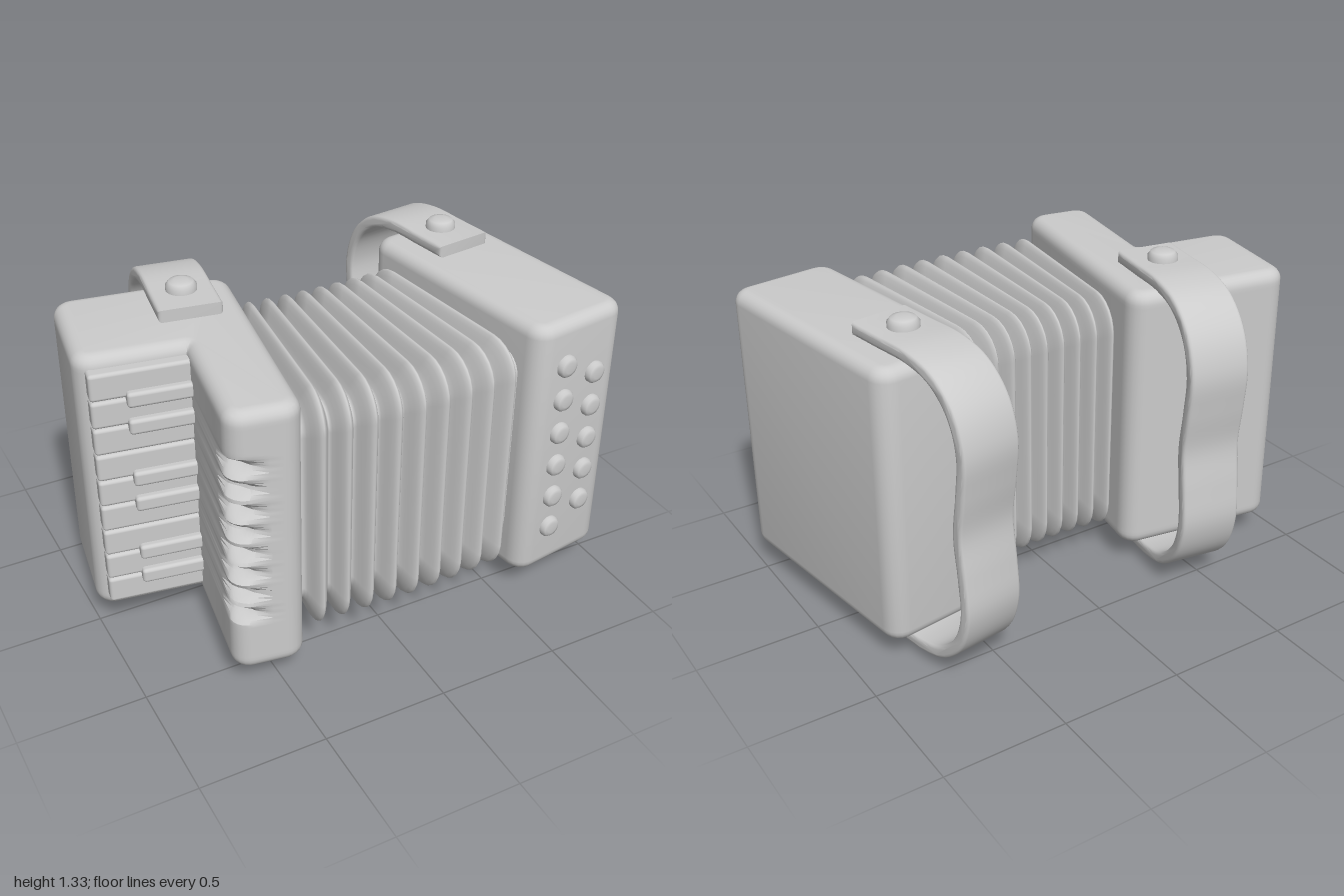
import * as THREE from 'three';
import { toCreasedNormals } from 'three/addons/utils/BufferGeometryUtils.js';
import { RoundedBoxGeometry } from 'three/addons/geometries/RoundedBoxGeometry.js';

const material = new THREE.MeshStandardMaterial({ color: 0xcccccc });
const MID_Y = 0.667;

function add(parent, name, geometry, x = 0, y = 0, z = 0) {
  const mesh = new THREE.Mesh(geometry, material);
  mesh.name = name;
  mesh.position.set(x, y, z);
  parent.add(mesh);
  return mesh;
}

// Upright slab from a plan outline of [x, z, cornerRadius]; the bevel grows it by 0.05.
function slabGeometry(points, steps = 1) {
  const shape = new THREE.Shape();
  points.forEach(([x, z, r], i) => {
    const corner = new THREE.Vector2(x, -z);
    const toward = (p) => new THREE.Vector2(p[0], -p[1]).sub(corner).setLength(r).add(corner);
    const a = toward(points[(i + points.length - 1) % points.length]);
    const b = toward(points[(i + 1) % points.length]);
    if (i === 0) shape.moveTo(a.x, a.y);
    else shape.lineTo(a.x, a.y);
    if (r > 0) shape.quadraticCurveTo(corner.x, corner.y, b.x, b.y);
  });
  shape.closePath();
  const g = new THREE.ExtrudeGeometry(shape, {
    depth: 1.035, steps, curveSegments: 6,
    bevelSize: 0.05, bevelThickness: 0.05, bevelSegments: 6,
  });
  g.rotateX(-Math.PI / 2);
  g.translate(0, 0.15, 0);
  return g;
}

// L-shaped keyboard body with a scalloped row along its front outer edge.
function keyboardBody() {
  const g = slabGeometry([
    [-0.35, -0.23, 0.03], [-0.35, 0.69, 0.03], [-0.43, 0.69, 0],
    [-0.53, 0.69, 0.025], [-0.53, 0.59, 0], [-0.53, 0.165, 0.06],
    [-0.94, 0.165, 0.03], [-0.94, -0.23, 0.03],
  ], 72);
  const p = g.attributes.position;
  for (let i = 0; i < p.count; i++) {
    const x = p.getX(i), y = p.getY(i), z = p.getZ(i);
    if (y < 0.32 || y > 1.06) continue;
    const near = Math.max(0, 1 - Math.hypot(x + 0.58, z - 0.74) / 0.13);
    const wave = 0.5 - 0.5 * Math.cos(((y - 0.32) / 0.74) * 8 * Math.PI * 2);
    p.setX(i, x + 0.055 * near * wave);
    p.setZ(i, z - 0.05 * near * wave);
  }
  return toCreasedNormals(g, 0.6);
}

// Hand strap: a ribbon with a bowed back, extruded across its width.
function strapGeometry() {
  const upper = [[0.035, 0.598], [-0.1, 0.598], [-0.28, 0.596], [-0.41, 0.56],
    [-0.51, 0.465], [-0.555, 0.33], [-0.545, 0.17]];
  const path = [...upper, [-0.525, 0], ...upper.slice().reverse().map(([z, y]) => [z, -y])];
  const curve = new THREE.CatmullRomCurve3(path.map(([z, y]) => new THREE.Vector3(z, y, 0)));
  const outer = [], inner = [];
  for (let i = 0; i <= 72; i++) {
    const p = curve.getPoint(i / 72), t = curve.getTangent(i / 72);
    outer.push(new THREE.Vector2(p.x + t.y * 0.011, p.y - t.x * 0.011));
    inner.push(new THREE.Vector2(p.x - t.y * 0.011, p.y + t.x * 0.011));
  }
  const g = new THREE.ExtrudeGeometry(new THREE.Shape([...outer, ...inner.reverse()]), {
    depth: 0.22, bevelSize: 0.014, bevelThickness: 0.014, bevelSegments: 3,
  });
  g.translate(0, 0, -0.11);
  g.rotateY(-Math.PI / 2);
  return toCreasedNormals(g, 0.7);
}

// Domed disc standing on y = 0.
function discGeometry(radius, height) {
  const b = height * 0.4;
  const profile = [[0, height], [radius - b * 1.6, height], [radius - b * 0.6, height - b * 0.25],
    [radius, height - b], [radius, 0]].map(([x, y]) => new THREE.Vector2(x, y)).reverse();
  return new THREE.LatheGeometry(profile, 28);
}

function addStrap(parent, x) {
  const strap = new THREE.Group();
  strap.name = 'handStrap';
  strap.position.set(x, MID_Y, 0);
  add(strap, 'strapBand', strapGeometry());
  for (const side of [1, -1]) {
    const stud = add(strap, 'strapStud', discGeometry(0.06, 0.053), 0, side * 0.61, -0.1);
    if (side < 0) stud.rotation.x = Math.PI;
  }
  parent.add(strap);
}

// Fan of rounded-rectangle rings; s counts folds, with ridges at whole numbers.
function bellowsGeometry() {
  const positions = [], index = [];
  const rings = 118, arc = 7, around = arc * 4;
  for (let i = 0; i <= rings; i++) {
    const s = -4.9 + (9.8 * i) / rings;
    const ridge = Math.abs(s) > 4.5 ? 0 : Math.pow(0.5 + 0.5 * Math.cos(s * Math.PI * 2), 0.8);
    const halfD = 0.365 + 0.085 * ridge, halfH = 0.43 + 0.092 * ridge, r = 0.09 + 0.05 * ridge;
    const angle = THREE.MathUtils.degToRad(s * 1.6 - 0.3);
    const cx = 0.076 + s * 0.0865, cz = 0.217 - s * s * 0.001;
    for (let c = 0; c < 4; c++) {
      const sz = c === 0 || c === 3 ? 1 : -1, sy = c < 2 ? 1 : -1;
      for (let k = 0; k < arc; k++) {
        const a = (c + k / (arc - 1)) * Math.PI / 2;
        const d = sz * (halfD - r) + Math.cos(a) * r;
        const h = sy * (halfH - r) + Math.sin(a) * r;
        positions.push(cx + Math.sin(angle) * d, MID_Y + h, cz + Math.cos(angle) * d);
      }
    }
  }
  for (let i = 0; i < rings; i++) {
    for (let j = 0; j < around; j++) {
      const a = i * around + j, b = i * around + (j + 1) % around;
      index.push(a, a + around, b, b, a + around, b + around);
    }
  }
  const g = new THREE.BufferGeometry();
  g.setAttribute('position', new THREE.Float32BufferAttribute(positions, 3));
  g.setIndex(index);
  g.computeVertexNormals();
  return g;
}

export function createModel() {
  const model = new THREE.Group();
  model.name = 'accordion';

  // Keyboard side, turned outward
  const keyboard = new THREE.Group();
  keyboard.name = 'keyboardSide';
  keyboard.rotation.y = THREE.MathUtils.degToRad(-9);
  add(keyboard, 'keyboardBody', keyboardBody());
  const pitch = 0.1145, bottom = 0.16;
  for (let k = 0; k < 9; k++) {
    add(keyboard, 'longKey', new RoundedBoxGeometry(0.39, pitch - 0.004, 0.1, 3, 0.014),
      -0.755, bottom + (k + 0.5) * pitch, 0.21);
  }
  for (const k of [1, 2, 4, 5, 7, 8]) {
    add(keyboard, 'shortKey', new RoundedBoxGeometry(0.25, 0.062, 0.09, 3, 0.014),
      -0.695, bottom + k * pitch, 0.243);
  }
  addStrap(keyboard, -0.518);
  model.add(keyboard);

  // Button side, turned the other way
  const buttons = new THREE.Group();
  buttons.name = 'buttonSide';
  buttons.rotation.y = THREE.MathUtils.degToRad(8.3);
  add(buttons, 'buttonBody', toCreasedNormals(slabGeometry([
    [0.515, -0.225, 0.03], [0.515, 0.68, 0.03], [0.862, 0.68, 0.03], [0.862, -0.225, 0.03],
  ]), 0.6));
  [[0.61, 1.05, 6], [0.766, 0.972, 5]].forEach(([x, top, count]) => {
    for (let i = 0; i < count; i++) {
      add(buttons, 'button', discGeometry(0.045, 0.035), x, top - i * 0.15, 0.722)
        .rotation.x = Math.PI / 2;
    }
  });
  addStrap(buttons, 0.682);
  model.add(buttons);

  add(model, 'bellows', bellowsGeometry());
  return model;
}
